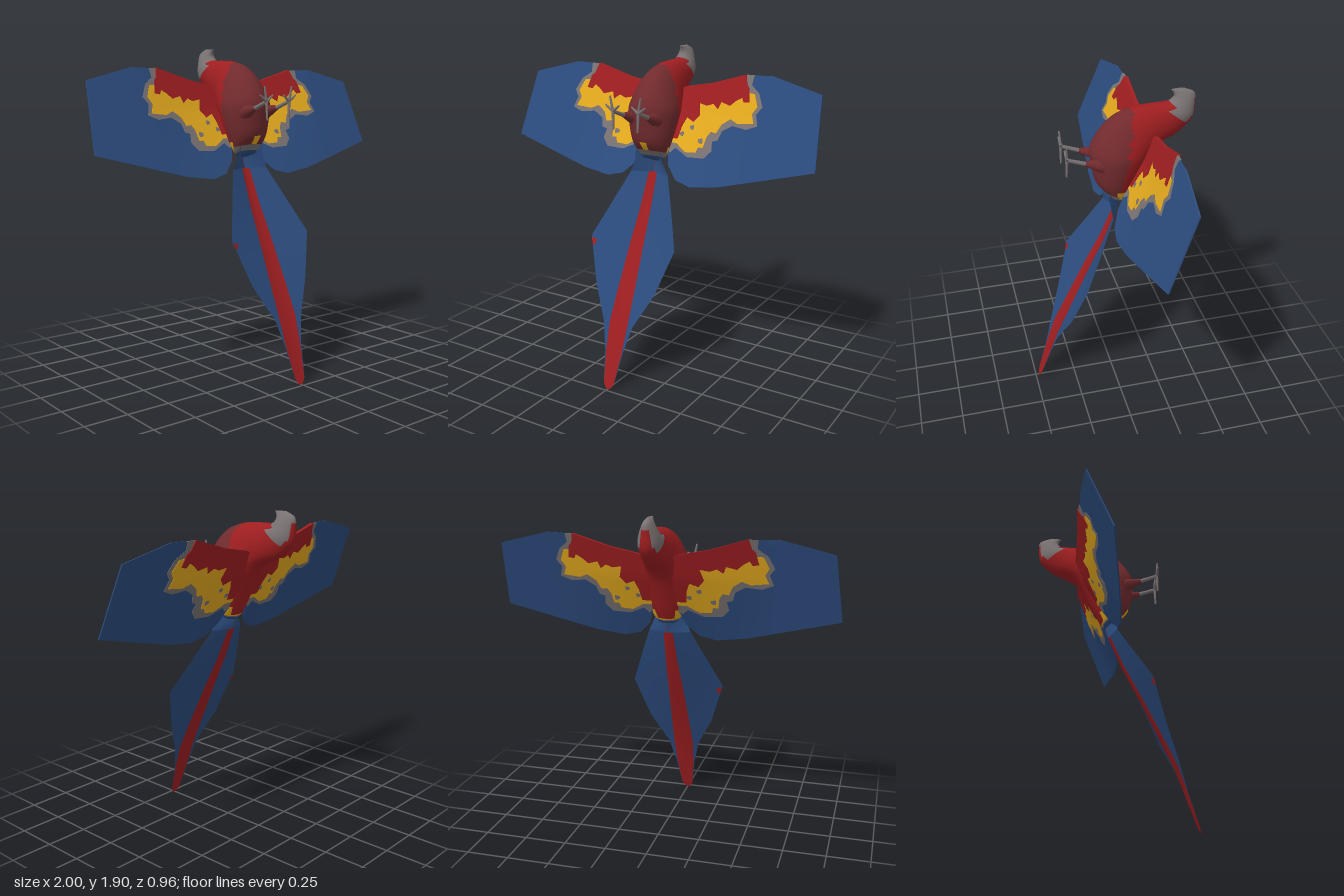
import * as THREE from 'three';
import { toCreasedNormals } from 'three/addons/utils/BufferGeometryUtils.js';

const mat = (name, color, side = THREE.FrontSide) => {
  const m = new THREE.MeshStandardMaterial({ color, side });
  m.name = name;
  return m;
};

// Wing surface: slanted plane, swept back towards the shoulder
const wingZ = (x, y) => -0.21 + (1.785 - y) * 0.385
  - 0.07 * Math.max(0, 1 - Math.abs(x) / 0.6) * THREE.MathUtils.clamp((y - 1.15) / 0.4, 0, 1);

// Flat outlines for the +x wing, [x, y]
const WING = [[0.04, 1.66], [0.12, 1.685], [0.28, 1.715], [0.5, 1.78], [0.66, 1.785], [0.96, 1.71], [1, 1.32],
  [0.46, 1.18], [0.28, 1.155], [0.18, 1.18], [0.11, 1.25], [0.08, 1.33], [0.04, 1.36]];
const FRINGE = [[0.04, 1.66], [0.12, 1.686], [0.28, 1.716], [0.5, 1.781], [0.55, 1.782], [0.545, 1.73], [0.6, 1.69], [0.635, 1.62],
  [0.605, 1.58], [0.625, 1.52], [0.56, 1.495], [0.47, 1.505], [0.41, 1.47], [0.395, 1.42], [0.36, 1.41],
  [0.37, 1.36], [0.33, 1.315], [0.22, 1.31], [0.13, 1.35], [0.1, 1.32], [0.04, 1.36]];
const GOLD = [[0.04, 1.65], [0.3, 1.7], [0.51, 1.74], [0.52, 1.69], [0.575, 1.685], [0.605, 1.62], [0.58, 1.58], [0.6, 1.53],
  [0.5, 1.52], [0.45, 1.54], [0.4, 1.505], [0.375, 1.455], [0.34, 1.46], [0.32, 1.43], [0.31, 1.37],
  [0.28, 1.37], [0.27, 1.34], [0.2, 1.335], [0.13, 1.375], [0.04, 1.38]];
const SCARLET = [[0.04, 1.664], [0.12, 1.689], [0.28, 1.719], [0.5, 1.784], [0.515, 1.73], [0.535, 1.71], [0.55, 1.64],
  [0.515, 1.635], [0.5, 1.66], [0.465, 1.64], [0.43, 1.61], [0.37, 1.625], [0.355, 1.585], [0.32, 1.61], [0.28, 1.595],
  [0.225, 1.605], [0.245, 1.54], [0.21, 1.5], [0.16, 1.52], [0.14, 1.47], [0.13, 1.4], [0.04, 1.4]];

// Thin plate from an outline, split into small triangles and bent onto the wing surface
function plate(name, pts, depth, side, material) {
  const shape = new THREE.Shape(pts.map(([x, y]) => new THREE.Vector2(x * side, y)));
  const src = new THREE.ExtrudeGeometry(shape, { depth, bevelEnabled: false }).attributes.position;
  const out = [];
  const split = (a, b, c) => {
    const ab = a.distanceTo(b), bc = b.distanceTo(c), ca = c.distanceTo(a);
    if (Math.max(ab, bc, ca) < 0.06) {
      for (const p of [a, b, c]) out.push(p.x, p.y, p.z - depth / 2 + wingZ(p.x, p.y));
      return;
    }
    // Halve the longest edge, p to q, opposite r
    const [p, q, r] = ab >= bc && ab >= ca ? [a, b, c] : bc >= ca ? [b, c, a] : [c, a, b];
    const mid = p.clone().add(q).multiplyScalar(0.5);
    split(p, mid, r);
    split(mid, q, r);
  };
  const at = (i) => new THREE.Vector3().fromBufferAttribute(src, i);
  for (let i = 0; i < src.count; i += 3) split(at(i), at(i + 1), at(i + 2));
  const g = new THREE.BufferGeometry();
  g.setAttribute('position', new THREE.Float32BufferAttribute(out, 3));
  const mesh = new THREE.Mesh(toCreasedNormals(g, 0.6), material);
  mesh.name = name;
  return mesh;
}

// Small irregular spot outline
const spot = (cx, cy, r) => Array.from({ length: 7 }, (_, i) => {
  const a = i / 7 * Math.PI * 2, k = r * (1 + 0.2 * Math.sin(i * 2.3));
  return [cx + k * Math.cos(a), cy + k * Math.sin(a)];
});

// Body rings, tail to beak: belly z, y, back z, y, half width
const RINGS = [
  [0.01, 1.29, -0.055, 1.26, 0.06], [0.04, 1.33, -0.075, 1.29, 0.088], [0.09, 1.395, -0.115, 1.36, 0.115],
  [0.11, 1.5, -0.16, 1.45, 0.138], [0.12, 1.59, -0.21, 1.54, 0.147], [0.065, 1.7, -0.255, 1.592, 0.126],
  [-0.02, 1.785, -0.31, 1.62, 0.102], [-0.14, 1.825, -0.37, 1.645, 0.084], [-0.25, 1.833, -0.43, 1.69, 0.07],
  [-0.33, 1.838, -0.467, 1.74, 0.061], [-0.355, 1.862, -0.477, 1.81, 0.046], [-0.352, 1.886, -0.474, 1.875, 0.027],
  [-0.34, 1.904, -0.42, 1.904, 0.012]];

function bodyGeometry() {
  const N = 32, STEP = 4, M = (RINGS.length - 1) * STEP, pos = [];
  const spline = (a, b) => new THREE.CatmullRomCurve3(RINGS.map((r) => new THREE.Vector3(r[a], r[b], r[4])));
  const belly = spline(0, 1), back = spline(2, 3);
  for (let i = 0; i <= M; i++) {
    const V = belly.getPoint(i / M), D = back.getPoint(i / M);
    for (let j = 0; j < N; j++) {
      const a = j / N * Math.PI * 2, k = (1 + Math.cos(a)) / 2;
      pos.push(V.z * Math.sin(a), D.y + (V.y - D.y) * k, D.x + (V.x - D.x) * k);
    }
  }
  // Centre points that close both ends
  const ends = [0, M].map((i) => {
    const V = belly.getPoint(i / M), D = back.getPoint(i / M);
    pos.push(0, (V.y + D.y) / 2, (V.x + D.x) / 2);
    return pos.length / 3 - 1;
  });
  // Plumage rule: 0 scarlet, 1 belly, 2 grey, 3 gold, 4 blue
  const colour = (t, a, y, z) => {
    const c = Math.cos(a), s = Math.abs(Math.sin(a));
    if (t > 10.6) return 2;
    if (t > 9) return c < -0.88 ? 0 : 2;
    if (t > 8.3 && s > 0.72 && c < 0.6) return 2;
    if (t < 0.5) return 4;
    if (t < 1.3 && c > -0.2) return 2;
    if (t < 2.1 && c > 0.97) return 3;
    if (t < 0.75) return 2;
    if (t < 1.8 && c < 0 && (c > -0.8 || t < 1)) return 3;
    return z > -0.12 + 0.2 * (1.83 - y) ? 1 : 0;
  };
  const sets = [[], [], [], [], []];
  for (let i = 0; i < M; i++) for (let j = 0; j < N; j++) {
    const a = i * N + j, b = i * N + (j + 1) % N, c = b + N, d = a + N;
    const y = (pos[a * 3 + 1] + pos[c * 3 + 1]) / 2, z = (pos[a * 3 + 2] + pos[c * 3 + 2]) / 2;
    sets[colour((i + 0.5) / STEP, (j + 0.5) / N * Math.PI * 2, y, z)].push(a, b, c, a, c, d);
  }
  for (let j = 0; j < N; j++) {
    const k = (j + 1) % N;
    sets[4].push(ends[0], k, j);
    sets[2].push(ends[1], M * N + j, M * N + k);
  }
  const g = new THREE.BufferGeometry();
  g.setAttribute('position', new THREE.Float32BufferAttribute(pos, 3));
  g.setIndex(sets.flat());
  let start = 0;
  sets.forEach((s, i) => { g.addGroup(start, s.length, i); start += s.length; });
  g.computeVertexNormals();
  return g;
}

// Tail rows: y, centre z, edge z, half width, stripe half width
const TAIL = [[1.33, -0.07, 0.03, 0.085, 0.001], [1.28, -0.06, 0.025, 0.09, 0.001], [1.2, -0.035, 0.015, 0.125, 0.001],
  [1.195, -0.034, 0.017, 0.127, 0.028], [1, 0.045, 0.115, 0.21, 0.036], [0.82, 0.135, 0.21, 0.285, 0.045],
  [0.56, 0.262, 0.29, 0.2, 0.056], [0.37, 0.345, 0.365, 0.1, 0.062], [0.21, 0.405, 0.412, 0.06, 0.054],
  [0.03, 0.468, 0.47, 0.034, 0.034], [0, 0.48, 0.48, 0.012, 0.012]];

function tailGeometry() {
  const pos = [], blue = [], red = [];
  TAIL.forEach(([y, zc, ze, w, s]) => [-w, -s, 0, s, w].forEach((x) =>
    pos.push(x, y, zc + (ze - zc) * Math.abs(x) / w)));
  for (let i = 0; i < TAIL.length - 1; i++) for (let j = 0; j < 4; j++) {
    const a = i * 5 + j, d = a + 5;
    (j === 1 || j === 2 ? red : blue).push(a, d, d + 1, a, d + 1, a + 1);
  }
  const g = new THREE.BufferGeometry();
  g.setAttribute('position', new THREE.Float32BufferAttribute(pos, 3));
  g.setIndex([...blue, ...red]);
  g.addGroup(0, blue.length, 0);
  g.addGroup(blue.length, red.length, 1);
  g.computeVertexNormals();
  return g;
}

// Red fleck on both faces of the tail's right edge
function fleckGeometry() {
  const tri = [[-0.281, 0.812, 0.213], [-0.262, 0.762, 0.226], [-0.242, 0.8, 0.207]];
  const pos = [0.004, -0.004].flatMap((o) => tri.flatMap(([x, y, z]) => [x, y, z + o]));
  const g = new THREE.BufferGeometry();
  g.setAttribute('position', new THREE.Float32BufferAttribute(pos, 3));
  g.setIndex([0, 1, 2, 5, 4, 3]);
  return toCreasedNormals(g);
}

// Tapered rod between two points
function rod(name, from, to, r0, r1, material) {
  const a = new THREE.Vector3(...from), b = new THREE.Vector3(...to), d = b.clone().sub(a);
  const mesh = new THREE.Mesh(new THREE.CylinderGeometry(r1, r0, d.length(), 10), material);
  mesh.position.copy(a).add(b).multiplyScalar(0.5);
  mesh.quaternion.setFromUnitVectors(new THREE.Vector3(0, 1, 0), d.normalize());
  mesh.name = name;
  return mesh;
}

export function createModel() {
  const D = THREE.DoubleSide;
  const scarlet = mat('scarlet', 0x9e1e20, D), belly = mat('belly red', 0x722b2e), grey = mat('grey', 0x7a7272);
  const gold = mat('gold', 0xe4aa1e), blue = mat('blue', 0x2c4c7e, D);
  const bird = new THREE.Group();
  bird.name = 'bird';

  const body = new THREE.Mesh(bodyGeometry(), [scarlet, belly, grey, gold, blue]);
  body.name = 'body';
  const tail = new THREE.Mesh(tailGeometry(), [blue, scarlet]);
  tail.name = 'tail';
  const fleck = new THREE.Mesh(fleckGeometry(), scarlet);
  fleck.name = 'tailFleck';
  bird.add(body, tail, fleck);

  for (const s of [1, -1]) {
    // Wing with layered feather colours
    const wing = new THREE.Group();
    wing.name = s > 0 ? 'leftWing' : 'rightWing';
    wing.add(plate('flightFeathers', WING, 0.008, s, blue), plate('fringe', FRINGE, 0.013, s, grey),
      plate('goldFeathers', GOLD, 0.018, s, gold), plate('scarletFeathers', SCARLET, 0.024, s, scarlet));
    for (const [x, y, r] of [[0.21, 1.47, 0.014], [0.285, 1.405, 0.016], [0.15, 1.43, 0.014]])
      wing.add(plate('spot', spot(x, y, r), 0.022, s, grey));
    bird.add(wing);

    // Leg with spread toes
    const leg = new THREE.Group();
    leg.name = s > 0 ? 'leftLeg' : 'rightLeg';
    const foot = [0.083 * s, 1.595, 0.265];
    leg.add(rod('thigh', [0.072 * s, 1.53, 0.06], [0.08 * s, 1.558, 0.165], 0.045, 0.013, belly),
      rod('shank', [0.08 * s, 1.553, 0.15], foot, 0.013, 0.01, grey));
    for (const [x, y] of [[0.13, 1.63], [0.04, 1.63], [0.1, 1.68], [0.08, 1.49]])
      leg.add(rod('toe', foot, [x * s, y, 0.268], 0.009, 0.005, grey));
    bird.add(leg);
  }
  return bird;
}
